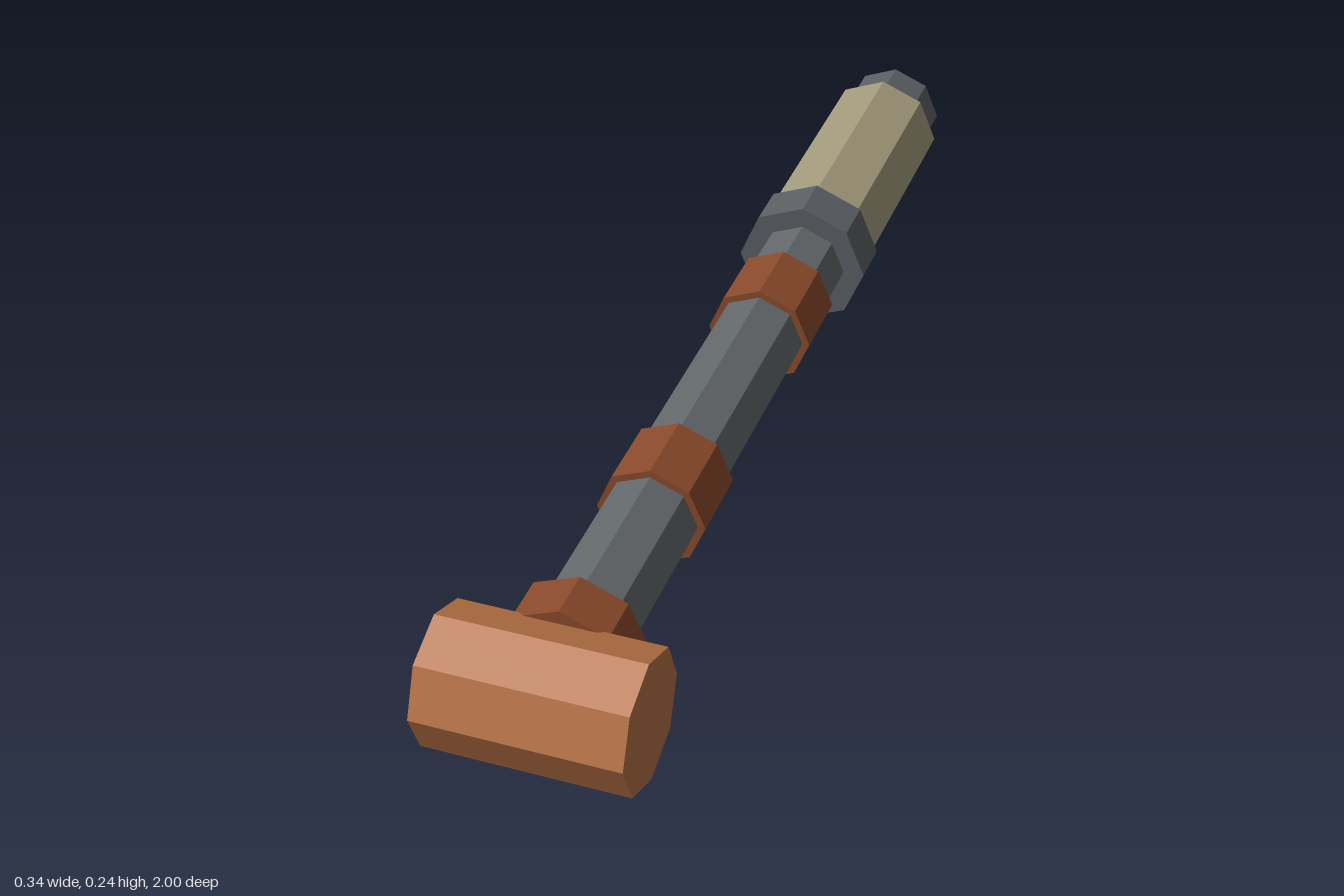
import * as THREE from 'three';

const CENTER_Y = 0.121;

function material(name, color) {
  const m = new THREE.MeshStandardMaterial({ color, flatShading: true });
  m.name = name;
  return m;
}

export function createModel() {
  const group = new THREE.Group();
  group.name = 'hammer';

  const copper = material('copper', 0xb87345);
  const bronze = material('darkBronze', 0x8b4a2b);
  const steel = material('steelGrey', 0x63686b);
  const iron = material('ironGrey', 0x5b5f64);
  const wrap = material('khakiWrap', 0xa39a7c);

  // Octagonal section lying along z between two ends
  function section(name, mat, radius, zFront, zBack) {
    const geo = new THREE.CylinderGeometry(radius, radius, zFront - zBack, 8);
    geo.rotateX(Math.PI / 2);
    const mesh = new THREE.Mesh(geo, mat);
    mesh.name = name;
    mesh.position.set(0, CENTER_Y, (zFront + zBack) / 2);
    group.add(mesh);
  }

  // Handle, from the head back to the pommel
  section('shaft', steel, 0.082, 0.85, -0.95);
  section('headCollar', bronze, 0.111, 0.813, 0.727);
  section('frontBand', bronze, 0.095, 0.425, 0.287);
  section('rearBand', bronze, 0.095, -0.13, -0.268);
  section('gripCollar', iron, 0.121, -0.38, -0.468);
  section('grip', wrap, 0.111, -0.46, -0.908);
  section('pommel', iron, 0.091, -0.932, -1);

  // Octagonal head lying crosswise
  const headGeo = new THREE.CylinderGeometry(0.115, 0.115, 0.344, 8);
  headGeo.rotateZ(Math.PI / 2);
  const head = new THREE.Mesh(headGeo, copper);
  head.name = 'head';
  head.position.set(0, CENTER_Y + 0.001, 0.885);
  group.add(head);

  return group;
}
